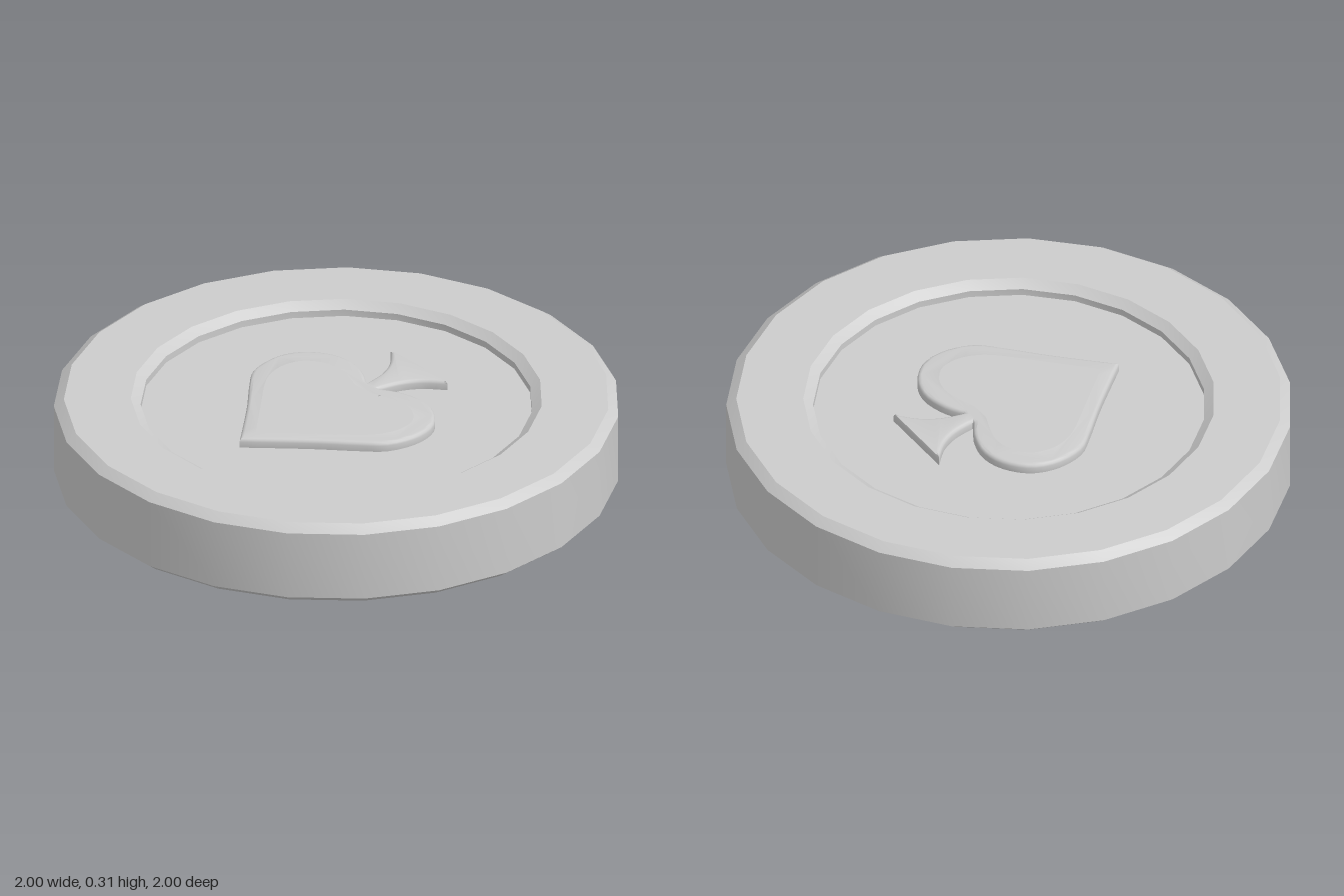
import * as THREE from 'three';
import { toCreasedNormals } from 'three/addons/utils/BufferGeometryUtils.js';

const HEIGHT = 0.31;
const RECESS = 0.05;
const SIDES = 23;

// Closed outline from a half curve, mirrored across the x axis
function mirrored(...runs) {
  const half = runs.flatMap((run) =>
    new THREE.SplineCurve(run.map(([x, y]) => new THREE.Vector2(x, y))).getPoints(run.length * 3));
  const other = half.filter((p) => p.y > 1e-4).reverse().map((p) => new THREE.Vector2(p.x, -p.y));
  return [...half, ...other].filter((p, i, all) => i === 0 || p.distanceTo(all[i - 1]) > 1e-4);
}

// Raised spade: hollow rounded heart outline with a solid flared stem
function spadeGeometry() {
  const lobe = [[-0.46, 0], [-0.28, 0.17], [-0.16, 0.295], [-0.08, 0.365], [0.03, 0.39], [0.13, 0.365],
    [0.2, 0.29], [0.225, 0.2], [0.205, 0.105], [0.165, 0.035]];
  const stem = [[0.165, 0.03], [0.25, 0.05], [0.32, 0.09], [0.38, 0.155]];
  const inner = [[-0.405, 0], [-0.25, 0.15], [-0.12, 0.275], [-0.04, 0.32], [0.03, 0.33], [0.1, 0.31],
    [0.15, 0.25], [0.167, 0.18], [0.155, 0.11], [0.128, 0.035]];

  const shape = new THREE.Shape(mirrored(lobe, stem));
  shape.holes.push(new THREE.Path(mirrored(inner)));
  const bevel = 0.014;
  const geometry = new THREE.ExtrudeGeometry(shape, {
    depth: 0.03, bevelThickness: bevel, bevelSize: bevel, bevelOffset: -bevel, bevelSegments: 3,
  });
  geometry.rotateX(-Math.PI / 2);
  return toCreasedNormals(geometry, 0.6);
}

export function createModel() {
  const model = new THREE.Group();
  model.name = 'token';
  const material = new THREE.MeshStandardMaterial({ color: 0xcccccc });

  // Disc with chamfered rim and a chamfered recess on both faces
  const lower = [[0, RECESS], [0.695, RECESS], [0.695, 0.025], [0.73, 0], [0.967, 0], [1.0025, 0.027]];
  const upper = lower.map(([r, y]) => [r, HEIGHT - y]).reverse();
  const profile = [...lower, ...upper].map(([r, y]) => new THREE.Vector2(r, y));
  const discGeometry = new THREE.LatheGeometry(profile, SIDES, Math.PI / 2);
  const disc = new THREE.Mesh(toCreasedNormals(discGeometry, 0.45), material);
  disc.name = 'disc';
  disc.position.x = -0.005;
  model.add(disc);

  // Spade emblem on the top face and its mirror on the bottom face
  const spade = spadeGeometry();
  for (const [name, flipped] of [['topSpade', false], ['bottomSpade', true]]) {
    const side = new THREE.Group();
    side.name = name;
    const mesh = new THREE.Mesh(spade, material);
    mesh.name = 'spadeRelief';
    mesh.position.y = HEIGHT - RECESS - 0.008;
    side.add(mesh);
    if (flipped) {
      side.rotation.x = Math.PI;
      side.position.y = HEIGHT;
    }
    model.add(side);
  }
  return model;
}
